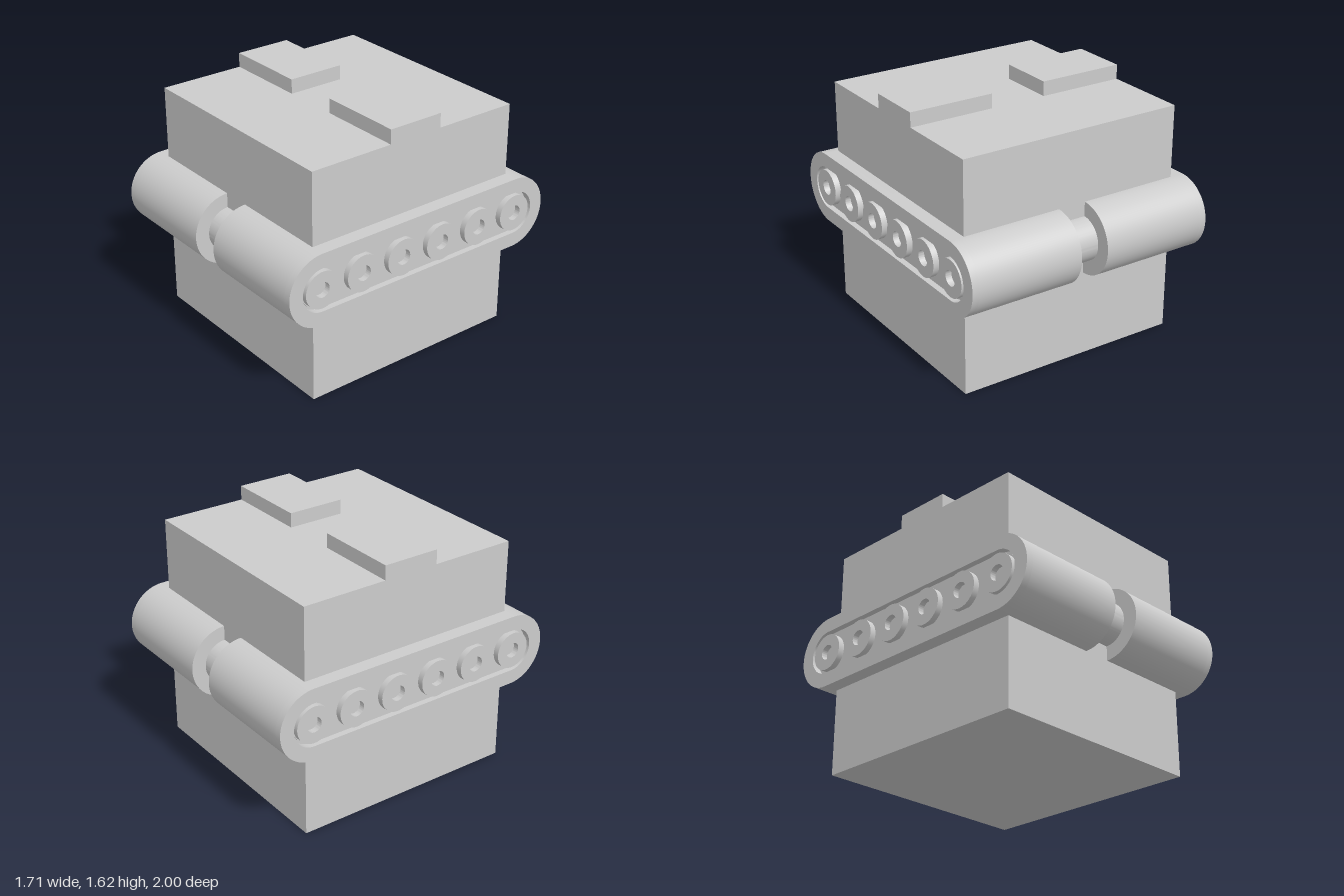
import * as THREE from 'three';
import { toCreasedNormals } from 'three/addons/utils/BufferGeometryUtils.js';

const U = 2 / 21; // modelling unit
const MID_Y = 8.5 * U;
const mat = new THREE.MeshStandardMaterial({ color: 0xcccccc });

function add(parent, name, geo, x = 0, y = 0, z = 0) {
  const mesh = new THREE.Mesh(geo, mat);
  mesh.name = name;
  mesh.position.set(x, y, z);
  parent.add(mesh);
  return mesh;
}

// Stadium outline: two half circles joined by straight runs
function stadium(half, r, PathType = THREE.Shape) {
  const p = new PathType();
  p.absarc(half, 0, r, -Math.PI / 2, Math.PI / 2, false);
  p.absarc(-half, 0, r, Math.PI / 2, Math.PI * 1.5, false);
  p.closePath();
  return p;
}

// Extrude a side profile along +x, starting at x = 0
function extrudeX(shape, depth) {
  const geo = new THREE.ExtrudeGeometry(shape, { depth, bevelEnabled: false, curveSegments: 28 });
  return toCreasedNormals(geo.rotateY(Math.PI / 2), 0.6);
}

// Half of the track belt with its recessed row of rollers, facing +x
function createTrack() {
  const track = new THREE.Group();
  const recess = 0.5 * U;
  add(track, 'trackBelt', extrudeX(stadium(8 * U, 2.5 * U), 8 * U - recess), U);

  const rim = stadium(8 * U, 2.5 * U);
  rim.holes.push(stadium(8 * U, 1.5 * U, THREE.Path));
  add(track, 'trackRim', extrudeX(rim, recess), 9 * U - recess);
  add(track, 'recessPanel', extrudeX(stadium(7.8 * U, 1.5 * U), 0.008), 9 * U - recess);

  // Rollers with axle holes, flush with the rim
  const roller = new THREE.Shape().absarc(0, 0, 1.27 * U, 0, Math.PI * 2, false);
  roller.holes.push(new THREE.Path().absarc(0, 0, 0.52 * U, 0, Math.PI * 2, true));
  const rollerGeo = extrudeX(roller, recess);
  for (let i = 0; i < 6; i++) add(track, 'roller', rollerGeo, 9 * U - recess, 0, (-8 + 3.2 * i) * U);
  return track;
}

export function createModel() {
  const model = new THREE.Group();
  model.name = 'trackedBlock';

  // Main block
  add(model, 'body', new THREE.BoxGeometry(16 * U, 16 * U, 16 * U), 0, 8 * U, 0);

  // Narrow core linking both belts
  add(model, 'core', extrudeX(stadium(8 * U, 1.5 * U), 2.2 * U), -1.1 * U, MID_Y, 0);

  // Mirrored belts and top pads
  for (const side of [1, -1]) {
    const track = createTrack();
    track.name = side > 0 ? 'leftTrack' : 'rightTrack';
    track.position.y = MID_Y;
    if (side < 0) track.rotation.y = Math.PI;
    model.add(track);
    add(model, 'topPad', new THREE.BoxGeometry(6 * U, U, 4 * U), side * 5 * U, 16.5 * U, 0);
  }
  return model;
}
